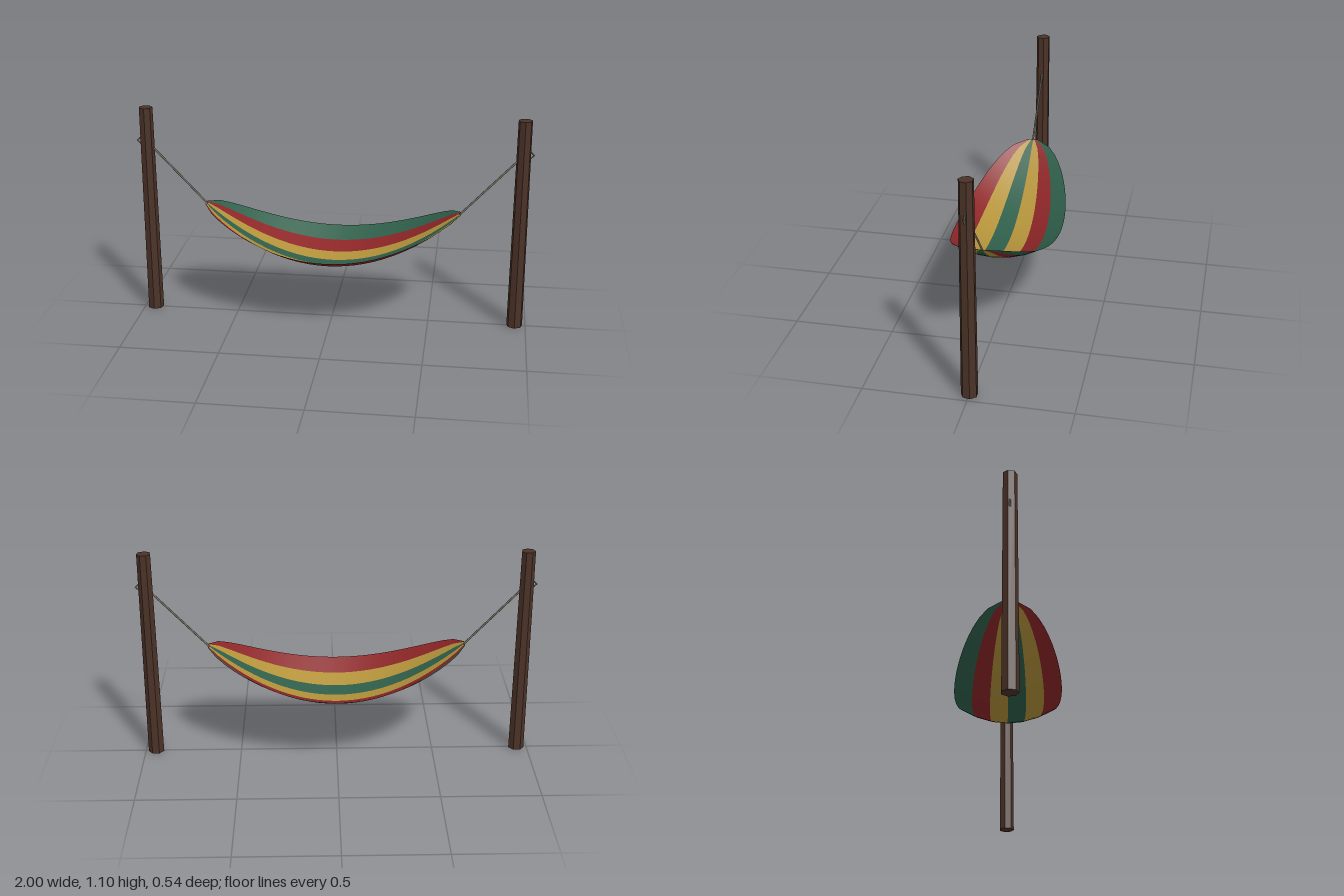
import * as THREE from 'three';

const material = (name, color, options = {}) => {
  const m = new THREE.MeshStandardMaterial({ color, ...options });
  m.name = name;
  return m;
};

const HALF_LENGTH = 0.65, HALF_WIDTH = 0.27, SEGMENTS = 28;

// Point on the cloth: t runs end to end (-1..1), s side to side (-1..1)
function clothPoint(t, s) {
  const sag = Math.max(0, 1 - t * t);
  const width = Math.max(0.025, HALF_WIDTH * Math.sqrt(sag));
  const y = 0.6 - 0.285 * sag + 0.09 * Math.pow(sag, 0.8) * s * s;
  return [t * HALF_LENGTH, y, s * width];
}

// One lengthwise strip of cloth between two side parameters
function stripeGeometry(s0, s1) {
  const positions = [], indices = [];
  for (let i = 0; i <= SEGMENTS; i++) {
    const t = -1 + (2 * i) / SEGMENTS;
    positions.push(...clothPoint(t, s0), ...clothPoint(t, s1));
    if (i < SEGMENTS) {
      const a = i * 2;
      indices.push(a, a + 1, a + 2, a + 1, a + 3, a + 2);
    }
  }
  const g = new THREE.BufferGeometry();
  g.setAttribute('position', new THREE.Float32BufferAttribute(positions, 3));
  g.setIndex(indices);
  g.computeVertexNormals();
  return g;
}

export function createModel() {
  const model = new THREE.Group();
  model.name = 'hammock';

  const wood = material('dark wood', 0x4a3227, { flatShading: true });
  const rope = material('rope', 0x7a7466);
  const red = material('red cloth', 0x8c2527, { side: THREE.DoubleSide });
  const green = material('green cloth', 0x2f5f4a, { side: THREE.DoubleSide });
  const yellow = material('yellow cloth', 0xb3923a, { side: THREE.DoubleSide });

  const add = (parent, name, geometry, mat) => {
    const mesh = new THREE.Mesh(geometry, mat);
    mesh.name = name;
    parent.add(mesh);
    return mesh;
  };

  // Striped cloth, from the back edge to the front edge
  const cloth = new THREE.Group();
  cloth.name = 'cloth';
  model.add(cloth);
  [green, red, yellow, green, yellow, red].forEach((mat, i) => {
    add(cloth, `stripe${i + 1}`, stripeGeometry(-1 + i / 3, -1 + (i + 1) / 3), mat);
  });

  for (const side of [-1, 1]) {
    const label = side > 0 ? 'left' : 'right';

    // Tapered post
    const post = add(model, `${label}Post`, new THREE.CylinderGeometry(0.035, 0.041, 1.095, 7), wood);
    post.position.set(side * 0.945, 1.095 / 2, 0);

    // Taut rope from the cloth end into the post
    const start = new THREE.Vector3(side * 0.645, 0.596, 0);
    const end = new THREE.Vector3(side * 0.945, 0.917, 0);
    const line = add(model, `${label}Rope`,
      new THREE.CylinderGeometry(0.005, 0.005, start.distanceTo(end), 6), rope);
    line.position.copy(start).lerp(end, 0.5);
    line.quaternion.setFromUnitVectors(new THREE.Vector3(0, 1, 0), end.clone().sub(start).normalize());

    // Rope loop showing on the outer face of the post
    const loop = add(model, `${label}Loop`, new THREE.TorusGeometry(0.04, 0.005, 4, 4), rope);
    loop.position.set(side * 0.955, 0.92, 0);
  }
  return model;
}
